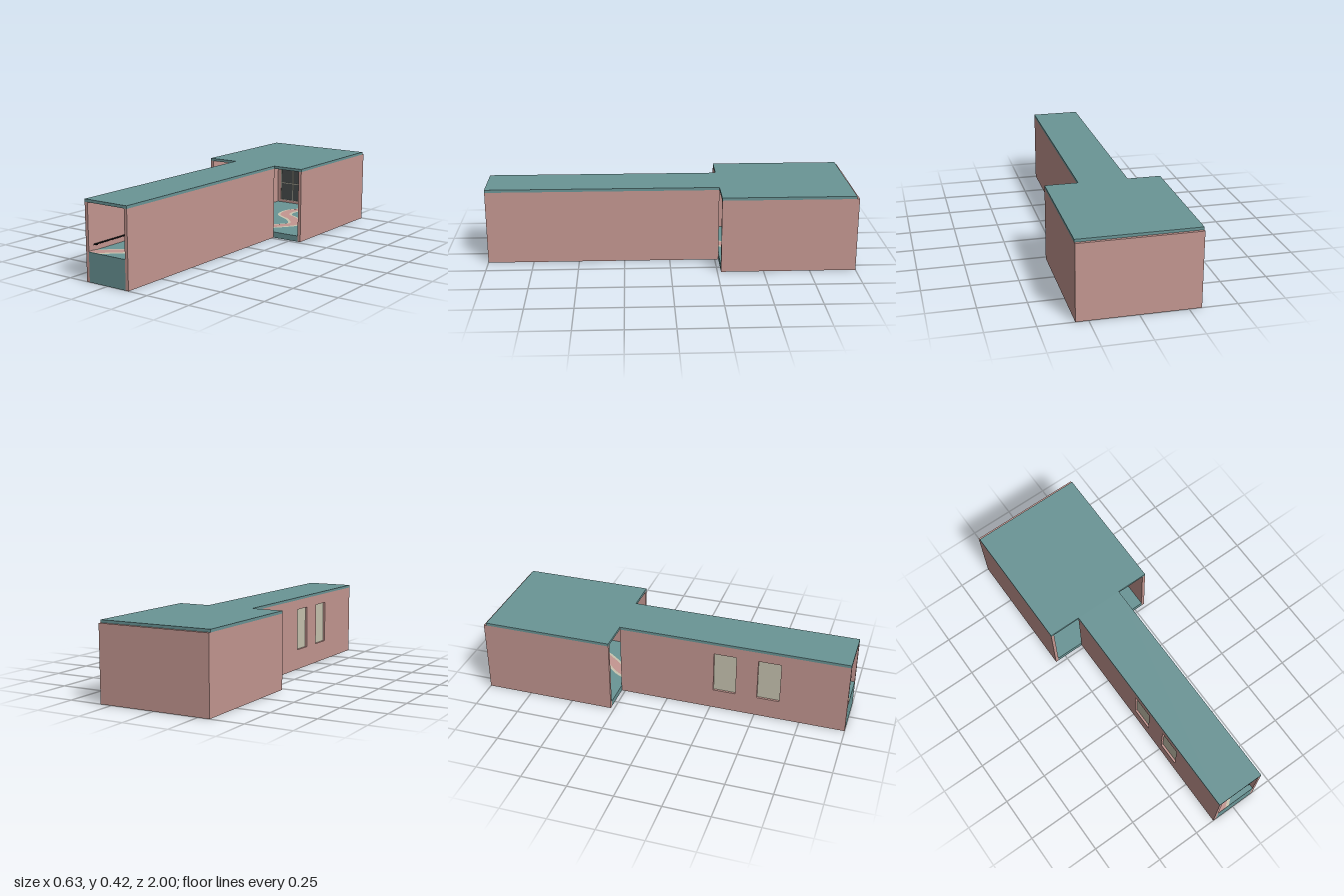
import * as THREE from 'three';

const mat = (name, color, side = THREE.FrontSide) => {
  const m = new THREE.MeshStandardMaterial({ color, side });
  m.name = name;
  return m;
};

export function createModel() {
  const root = new THREE.Group();
  root.name = 'corridorBuilding';
  const teal = mat('teal', 0x6a9596);
  const pink = mat('dusty pink', 0xc49791, THREE.DoubleSide);
  const cream = mat('cream', 0xc8c4b0, THREE.DoubleSide);
  const glass = mat('dark glass', 0x484c4d);
  const black = mat('black', 0x161718);

  const add = (name, geo, material, parent = root) => {
    const m = new THREE.Mesh(geo, material);
    m.name = name;
    parent.add(m);
    return m;
  };
  // box given by its minimum and maximum corners
  const box = (name, material, x0, x1, y0, y1, z0, z1, parent) => {
    const g = new THREE.BoxGeometry(x1 - x0, y1 - y0, z1 - z0);
    g.translate((x0 + x1) / 2, (y0 + y1) / 2, (z0 + z1) / 2);
    return add(name, g, material, parent);
  };
  // side profile in (z, y), extruded from x0 to x1
  const profile = (name, material, points, x0, x1, holes = []) => {
    const shape = new THREE.Shape(points.map(p => new THREE.Vector2(...p)));
    holes.forEach(h => shape.holes.push(new THREE.Path(h.map(p => new THREE.Vector2(...p)))));
    const g = new THREE.ExtrudeGeometry(shape, { depth: x1 - x0, bevelEnabled: false });
    g.rotateY(-Math.PI / 2).translate(x1, 0, 0);
    return add(name, g, material);
  };
  const rect = (z0, z1, y0, y1) => [[z0, y0], [z1, y0], [z1, y1], [z0, y1]];

  const W = 0.315, C = 0.135, T = 0.018, H = 0.405, TOP = 0.42, J = -0.27;
  const LOW = 0.033, HIGH = 0.155, R0 = 0.3, R1 = 0.68;
  const floorY = z => THREE.MathUtils.mapLinear(THREE.MathUtils.clamp(z, R0, R1), R0, R1, LOW, HIGH);

  // roof
  box('corridorRoof', teal, -C, C, H, TOP, J, 1);
  box('roomRoof', teal, -W, W, H, TOP, -0.985, J);

  // floors, with the ramp down the corridor
  box('roomFloor', teal, -W + T, W - T, 0, LOW, -1 + T, J);
  profile('corridorFloor', teal,
    [[J, 0], [1, 0], [1, HIGH], [R1, HIGH], [R0, LOW], [J, LOW]], -C + T, C - T);

  // walls
  box('backWall', pink, -W, W, 0, H, -1, -1 + T);
  for (const s of [-1, 1]) {
    const x = s * (W - T / 2);
    box('roomSideWall', pink, x - T / 2, x + T / 2, 0, H, -1 + T, J);
  }
  box('corridorWall', pink, C - T, C, 0, H, J, 1);
  const openings = [[0.265, 0.39], [0.51, 0.635]];
  profile('corridorWindowWall', pink, rect(J, 1, 0, H), -C, -C + T,
    openings.map(([a, b]) => rect(a, b, 0.115, 0.35)));
  for (const [a, b] of openings) {
    box('sideWindowPanel', cream, -C + 0.012, -C + T + 0.003, 0.115, 0.35, a, b);
  }

  // large gridded window on the inside of the back wall
  const win = new THREE.Group();
  win.name = 'backWindow';
  root.add(win);
  const zw = -1 + T, wx = 0.268, wy0 = 0.051, wy1 = 0.385;
  box('pane', glass, -wx, wx, wy0, wy1, zw, zw + 0.004, win);
  for (let i = 0; i <= 6; i++) {
    const x = -wx + i * wx / 3, t = i % 6 ? 0.0018 : 0.001;
    box('verticalBar', cream, x - t, x + t, wy0, wy1, zw, zw + 0.008, win);
  }
  for (let i = 0; i <= 3; i++) {
    const y = wy0 + i * (wy1 - wy0) / 3, t = i % 3 ? 0.0018 : 0.001;
    box('horizontalBar', cream, -wx, wx, y - t, y + t, zw, zw + 0.0075, win);
  }

  // room pillars
  for (const s of [-1, 1]) {
    const x = s * 0.137;
    box('pillar', cream, x - 0.018, x + 0.018, LOW, H, -0.618, -0.582);
  }

  // winding carpet stripe: cream border under a pink middle
  const path = new THREE.CatmullRomCurve3([
    [-0.14, 1.02], [-0.03, 0.93], [0.06, 0.83], [0.05, 0.68], [-0.05, 0.52], [-0.05, 0.35],
    [0.05, 0.18], [0.04, 0.02], [-0.05, -0.14], [-0.01, -0.3], [0.08, -0.41], [0.13, -0.5],
    [0.06, -0.6], [-0.05, -0.68], [-0.06, -0.8], [0.05, -0.88], [0.18, -0.82],
  ].map(([x, z]) => new THREE.Vector3(x, 0, z)));
  const ribbon = (name, material, width, lift) => {
    const pos = [], idx = [], n = 160;
    for (let i = 0; i <= n; i++) {
      const p = path.getPoint(i / n), t = path.getTangent(i / n);
      for (const s of [-1, 1]) {
        let x = p.x + s * t.z * width / 2;
        const z = Math.min(1, p.z - s * t.x * width / 2);
        if (z > J) x = THREE.MathUtils.clamp(x, -C + T, C - T);
        pos.push(x, floorY(z) + lift, z);
      }
      if (i < n) {
        const a = i * 2;
        idx.push(a, a + 1, a + 2, a + 1, a + 3, a + 2);
      }
    }
    const g = new THREE.BufferGeometry();
    g.setAttribute('position', new THREE.Float32BufferAttribute(pos, 3));
    // wind the faces so that they look up
    const [a, b, c] = [0, 1, 2].map(k => new THREE.Vector3().fromArray(pos, (120 + k) * 3));
    if (b.sub(a).cross(c.sub(a)).y < 0) idx.reverse();
    g.setIndex(idx);
    g.computeVertexNormals();
    add(name, g, material);
  };
  ribbon('carpetBorder', cream, 0.085, 0.0015);
  ribbon('carpetStripe', pink, 0.055, 0.003);

  // handrails that follow the ramp, on small wall brackets
  for (const s of [-1, 1]) {
    const rail = new THREE.Group();
    rail.name = 'handrail';
    root.add(rail);
    const x = s * 0.106, up = 0.034;
    const pts = [0.98, R1, R0, 0.2].map(z => new THREE.Vector3(x, floorY(z) + up, z));
    const line = new THREE.CurvePath();
    for (let i = 0; i < 3; i++) line.add(new THREE.LineCurve3(pts[i], pts[i + 1]));
    add('railBar', new THREE.TubeGeometry(line, 60, 0.004, 8), black, rail);
    for (const z of [0.95, 0.7, 0.5, 0.25]) {
      const y = floorY(z) + up - 0.004, xw = s * (C - T);
      box('railBracket', black, Math.min(x, xw), Math.max(x, xw), y - 0.003, y + 0.003,
        z - 0.003, z + 0.003, rail);
    }
  }

  // ceiling lamps
  for (const z of [0.7, 0.1, -0.63]) {
    const dome = new THREE.SphereGeometry(0.017, 24, 10, 0, Math.PI * 2, Math.PI / 2, Math.PI / 2);
    add('ceilingLamp', dome, cream).position.set(0, 0.402, z);
    const rim = new THREE.CylinderGeometry(0.017, 0.017, 0.003, 24);
    add('lampRim', rim, cream).position.set(0, 0.4035, z);
  }
  return root;
}
